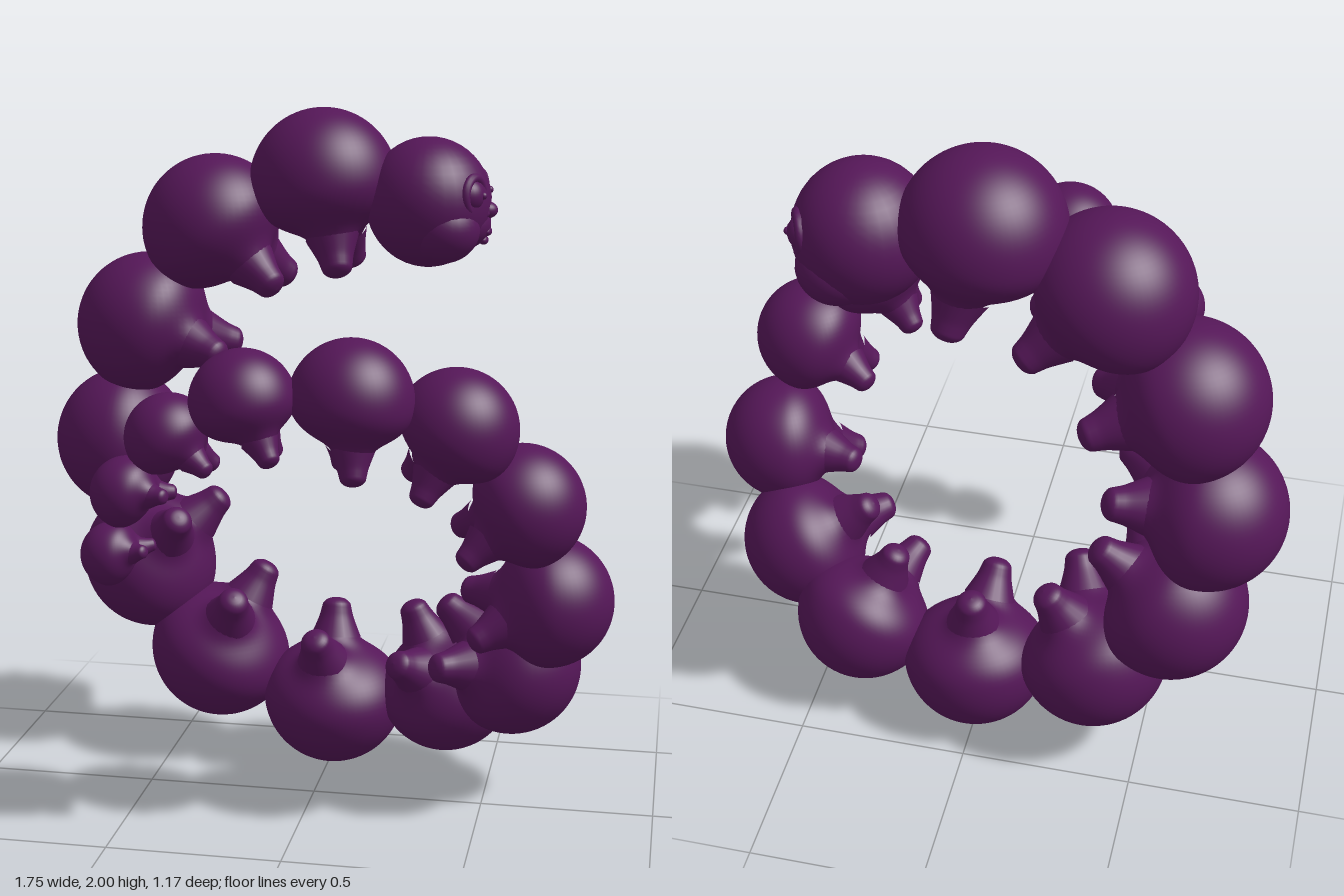
import * as THREE from 'three';
import { mergeVertices } from 'three/addons/utils/BufferGeometryUtils.js';

const skin = new THREE.MeshStandardMaterial({ color: 0x551758 });
const V = (x, y, z) => new THREE.Vector3(x, y, z);
const HEAD = V(0.275, 1.73, -0.36);

// Body segments from neck to tail: centre x, y, z, radius, leg angle in degrees, leg lean toward +z
const SEGMENTS = [
  [-0.04, 1.78, -0.37, 0.22, -75, 0],
  [-0.37, 1.64, -0.37, 0.22, -38, 0],
  [-0.58, 1.34, -0.37, 0.22, -16, 0],
  [-0.655, 0.98, -0.37, 0.22, 15, 0.05],
  [-0.57, 0.61, -0.35, 0.22, 48, 0.3],
  [-0.35, 0.34, -0.32, 0.22, 65, 0.25],
  [0.01, 0.22, -0.285, 0.215, 94, 0.2],
  [0.36, 0.285, -0.25, 0.205, 122, 0.5],
  [0.57, 0.41, -0.1, 0.205, 153, 0.35],
  [0.68, 0.66, 0.06, 0.19, 193, 0.1],
  [0.615, 0.965, 0.19, 0.175, 215, 0],
  [0.44, 1.19, 0.27, 0.17, 236, 0],
  [0.17, 1.28, 0.375, 0.17, 268, 0],
  [-0.11, 1.28, 0.44, 0.145, -62, 0],
  [-0.31, 1.18, 0.45, 0.12, -35, 0],
  [-0.42, 1.03, 0.48, 0.1, 0, 0],
  [-0.46, 0.86, 0.49, 0.088, 12, 0],
];

const ball = new THREE.SphereGeometry(1, 32, 24);
const seamlessBall = new THREE.SphereGeometry(1, 64, 40);
seamlessBall.deleteAttribute('uv');
seamlessBall.deleteAttribute('normal');
const bodyBase = mergeVertices(seamlessBall);

// Body of one segment: a ball with a flattened belly that swells smoothly into each leg
function bodyGeometry(belly, legDirections) {
  const geometry = bodyBase.clone();
  const points = geometry.attributes.position;
  const d = V(0, 0, 0);
  for (let i = 0; i < points.count; i++) {
    d.fromBufferAttribute(points, i).normalize();
    const h = Math.max(0, d.dot(belly));
    let radius = 1 / Math.sqrt(1 - h * h + (h / 0.72) ** 2);
    for (const leg of legDirections) radius += 0.31 * Math.exp(-((d.angleTo(leg) / 0.34) ** 2));
    points.setXYZ(i, d.x * radius, d.y * radius, d.z * radius);
  }
  geometry.computeVertexNormals();
  return geometry;
}

// Rounded stub of a leg, for a segment of radius 1
const legProfile = new THREE.SplineCurve([
  [0.36, 0.8], [0.285, 0.98], [0.24, 1.1], [0.215, 1.2], [0.19, 1.28], [0.11, 1.34], [0, 1.36],
].map(([x, y]) => new THREE.Vector2(x, y))).getPoints(20);
legProfile[legProfile.length - 1].x = 0;
const legGeometry = new THREE.LatheGeometry(legProfile, 24);

function add(parent, name, geometry, position, scale) {
  const mesh = new THREE.Mesh(geometry, skin);
  mesh.name = name;
  mesh.position.copy(position);
  if (Array.isArray(scale)) mesh.scale.set(...scale);
  else mesh.scale.setScalar(scale);
  parent.add(mesh);
  return mesh;
}

// Head faces its local +z, built around its own centre
function buildHead() {
  const head = new THREE.Group();
  head.name = 'head';
  add(head, 'skull', ball, V(0, 0, 0), [0.192, 0.19, 0.185]);
  add(head, 'muzzle', ball, V(0, -0.06, 0.07), [0.11, 0.085, 0.115]);
  add(head, 'nose', ball, V(0, -0.02, 0.168), [0.032, 0.026, 0.036]);
  add(head, 'noseBridge', ball, V(0, 0.015, 0.155), [0.025, 0.05, 0.03]);
  add(head, 'upperLip', ball, V(0, -0.082, 0.174), [0.03, 0.014, 0.014]);
  add(head, 'lowerLip', ball, V(0, -0.108, 0.164), [0.024, 0.014, 0.014]);
  for (const s of [-1, 1]) {
    add(head, 'cheek', ball, V(s * 0.07, -0.07, 0.05), [0.11, 0.1, 0.11]);
    add(head, 'eye', ball, V(s * 0.085, 0.03, 0.122), 0.05);
    add(head, 'pupil', ball, V(s * 0.09, 0.03, 0.17), 0.011);
    const lid = add(head, 'eyelid', new THREE.TorusGeometry(0.05, 0.014, 12, 32), V(s * 0.087, 0.03, 0.142), 1);
    lid.rotation.y = s * 0.4;
    add(head, 'nostrilWing', ball, V(s * 0.028, -0.027, 0.163), [0.02, 0.017, 0.02]);
  }
  head.position.copy(HEAD);
  head.rotation.y = Math.PI / 2;
  return head;
}

export function createModel() {
  const model = new THREE.Group();
  model.name = 'caterpillar';
  model.add(buildHead());

  const centres = SEGMENTS.map(([x, y, z]) => V(x, y, z));
  SEGMENTS.forEach(([, , , r, degrees, lean], i) => {
    const segment = new THREE.Group();
    segment.name = 'segment' + (i + 1);
    segment.position.copy(centres[i]);
    segment.scale.setScalar(r);

    // Belly turned to the inside of the curl, square to the spine
    const before = i ? centres[i - 1] : HEAD;
    const after = centres[Math.min(i + 1, centres.length - 1)];
    const along = after.clone().sub(before).normalize();
    const a = THREE.MathUtils.degToRad(degrees);
    const inward = V(Math.cos(a), Math.sin(a), lean).normalize();
    const across = inward.clone().cross(along).normalize();
    const belly = along.clone().cross(across);

    // A pair of legs spread across the belly
    const directions = [-1, 1].map((s) => inward.clone().addScaledVector(across, s * 0.48).normalize());
    add(segment, 'body', bodyGeometry(belly, directions), V(0, 0, 0), 1);
    for (const direction of directions) {
      const leg = add(segment, 'leg', legGeometry, V(0, 0, 0), 1);
      leg.quaternion.setFromUnitVectors(V(0, 1, 0), direction);
    }
    model.add(segment);
  });
  return model;
}
